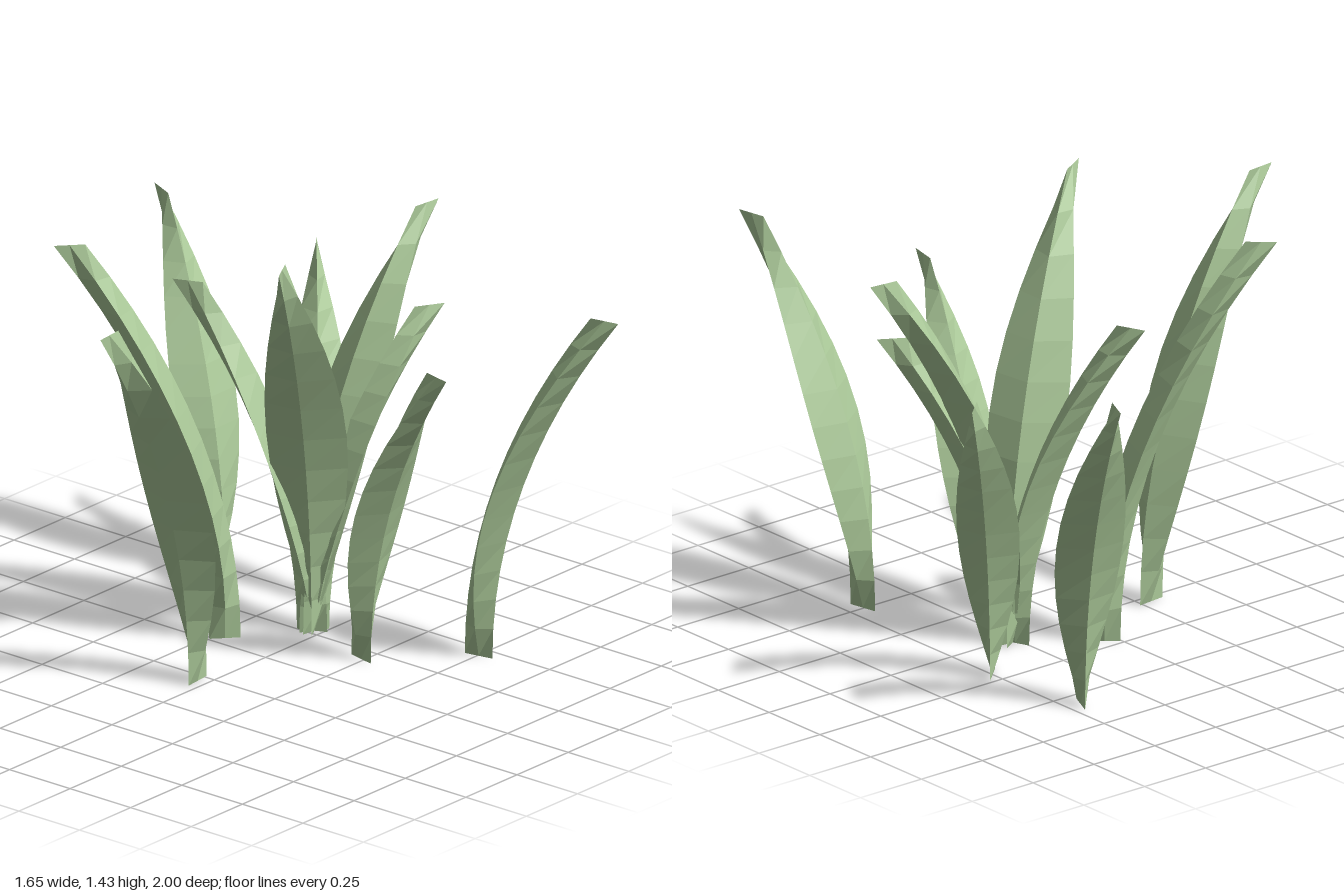
import * as THREE from 'three';

const SEGMENTS = 12;
const HALF_THICK = 0.05;

// One blade: horizontal diamond sections swept along an outward-bending parabola.
function bladeGeometry(height, reach, halfWidth, angle) {
  const dx = Math.cos(angle), dz = Math.sin(angle);
  const positions = [], indices = [];
  for (let i = 0; i <= SEGMENTS; i++) {
    const t = i / SEGMENTS;
    const r = reach * t * t;
    const w = halfWidth * Math.sin(Math.PI * t);
    // outer ridge, side edge, inner ridge, other side edge
    for (const [u, v] of [[HALF_THICK, 0], [0, w], [-HALF_THICK, 0], [0, -w]]) {
      positions.push(dx * (r + u) + dz * v, height * t, dz * (r + u) - dx * v);
    }
  }
  for (let i = 0; i < SEGMENTS; i++) {
    for (let k = 0; k < 4; k++) {
      const a = i * 4 + k, b = i * 4 + (k + 1) % 4;
      indices.push(a, b, b + 4, a, b + 4, a + 4);
    }
  }
  const indexed = new THREE.BufferGeometry();
  indexed.setAttribute('position', new THREE.Float32BufferAttribute(positions, 3));
  indexed.setIndex(indices);
  const geometry = indexed.toNonIndexed();
  geometry.computeVertexNormals();
  return geometry;
}

export function createModel() {
  const group = new THREE.Group();
  group.name = 'grassTuft';
  const green = new THREE.MeshStandardMaterial({ color: 0xabc999, flatShading: true });
  green.name = 'leafGreen';

  // inner base point x, z; outer tip point x, z; height; half width
  const blades = [
    // central cluster
    [0.29, 0.01, 0.09, -0.46, 1.14, 0.11],
    [0.32, -0.055, -0.23, 0.25, 1.43, 0.13],
    [0.225, -0.035, 0.81, 0.03, 1.32, 0.125],
    [0.23, -0.055, 0.65, 0.19, 1.055, 0.1],
    // surrounding blades
    [-0.24, -0.04, -0.83, 0.02, 1.335, 0.122],
    [0.08, -0.17, -0.36, -0.57, 1.36, 0.125],
    [0.195, 0.19, 0.09, 0.67, 1.08, 0.1],
    [0.435, 0.455, 0.54, 1.0, 1.225, 0.113],
    [0.465, -0.17, 0.825, -0.49, 1.055, 0.1],
    [0.43, -0.53, 0.64, -1.0, 1.16, 0.11],
  ];
  blades.forEach(([bx, bz, tx, tz, height, halfWidth], i) => {
    const angle = Math.atan2(tz - bz, tx - bx);
    const reach = Math.hypot(tx - bx, tz - bz) - 2 * HALF_THICK;
    const blade = new THREE.Mesh(bladeGeometry(height, reach, halfWidth, angle), green);
    blade.name = `grassBlade${i + 1}`;
    blade.position.set(bx + HALF_THICK * Math.cos(angle), 0, bz + HALF_THICK * Math.sin(angle));
    group.add(blade);
  });
  return group;
}
